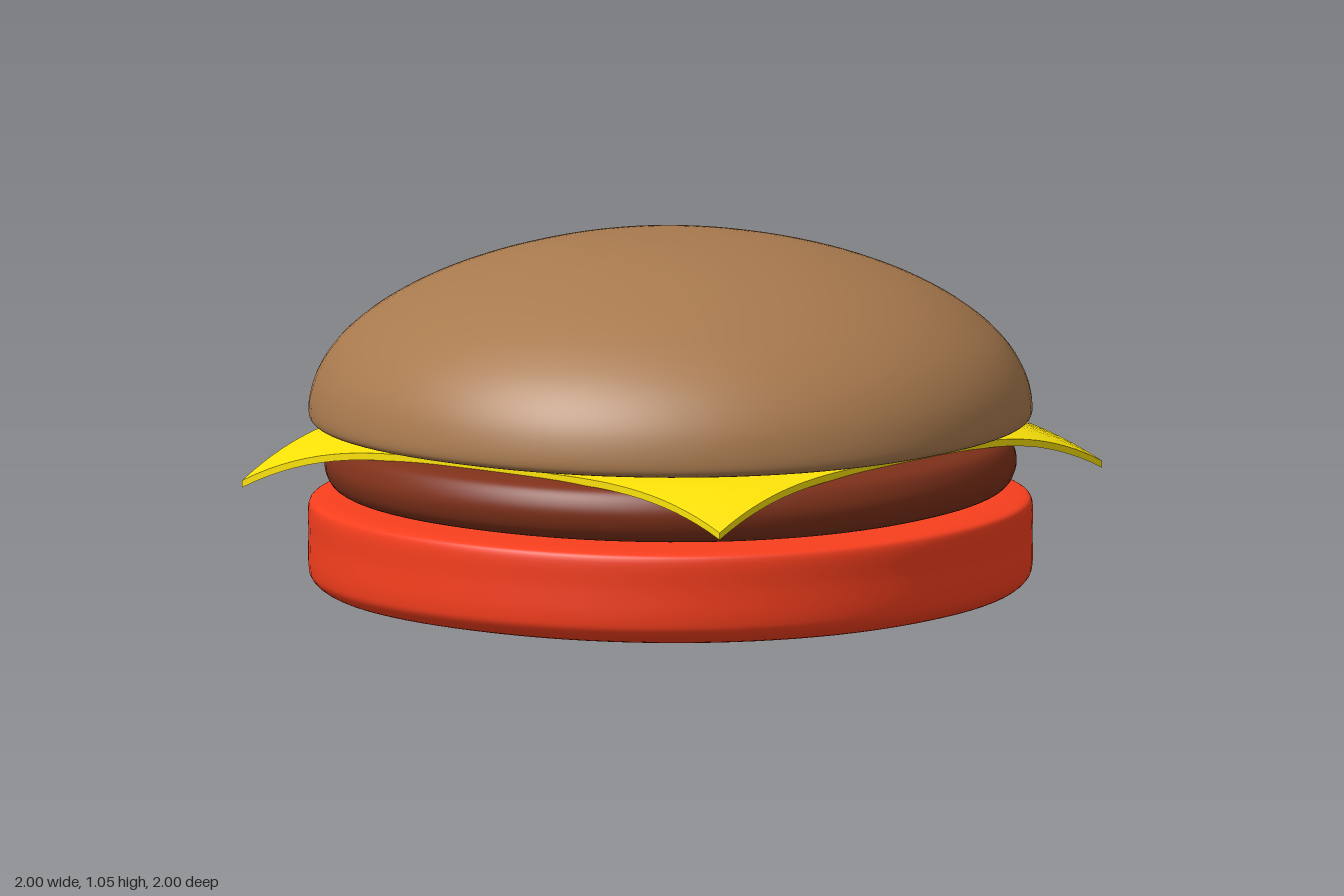
import * as THREE from 'three';

// Round layer: a smooth spline profile (bottom axis to top axis) turned about y,
// then filled out slightly toward the diagonals for a soft-square outline
function layer(name, color, points) {
  const curve = new THREE.CatmullRomCurve3(points.map(([r, y]) => new THREE.Vector3(r, y, 0)), false, 'centripetal');
  const profile = curve.getPoints(72).map(p => new THREE.Vector2(Math.max(p.x, 0), p.y));
  const geo = new THREE.LatheGeometry(profile, 96);
  const pos = geo.attributes.position;
  const n = 2.16;
  for (let i = 0; i < pos.count; i++) {
    const x = pos.getX(i), z = pos.getZ(i);
    const a = Math.atan2(z, x);
    const s = (Math.abs(Math.cos(a)) ** n + Math.abs(Math.sin(a)) ** n) ** (-1 / n);
    pos.setX(i, x * s);
    pos.setZ(i, z * s);
  }
  const mesh = new THREE.Mesh(geo, new THREE.MeshStandardMaterial({ color }));
  mesh.name = name;
  return mesh;
}

// Thin square slice whose corners droop past the patty
function cheeseSlice() {
  const half = 0.845, thickness = 0.02, top = 0.5;
  const geo = new THREE.BoxGeometry(2 * half, thickness, 2 * half, 40, 1, 40);
  const pos = geo.attributes.position;
  for (let i = 0; i < pos.count; i++) {
    const x = pos.getX(i), z = pos.getZ(i);
    const droop = Math.max(0, Math.hypot(x, z) - 0.87) ** 2;
    const corner = (Math.max(0, Math.abs(x * z) / half ** 2 - 0.45) / 0.55) ** 2;
    // each corner flares and hangs a little differently
    const left = x < 0, back = z < 0;
    const dx = left ? -0.03 : back ? 0.02 : -0.005;
    const dz = back ? (left ? 0.005 : -0.033) : (left ? 0.006 : 0.014);
    const hang = left ? 1.24 : back ? 1.18 : 1;
    pos.setXYZ(i, x + dx * corner, pos.getY(i) + top - thickness / 2 - droop * hang, z + dz * corner);
  }
  geo.computeVertexNormals();
  const mesh = new THREE.Mesh(geo, new THREE.MeshStandardMaterial({ color: 0xfbe208 }));
  mesh.name = 'cheeseSlice';
  return mesh;
}

export function createModel() {
  const group = new THREE.Group();
  group.name = 'burger';
  group.add(
    layer('tomatoBase', 0xf83f1e, [
      [0, 0], [0.4, 0.005], [0.7, 0.014], [0.88, 0.03], [0.96, 0.05], [0.993, 0.08], [1, 0.11],
      [1, 0.2], [1, 0.28], [0.992, 0.297], [0.96, 0.304], [0.85, 0.308], [0.5, 0.31], [0, 0.31]
    ]),
    layer('patty', 0x7f311a, [
      [0, 0.308], [0.5, 0.308], [0.8, 0.312], [0.89, 0.322], [0.935, 0.345], [0.955, 0.39],
      [0.953, 0.425], [0.93, 0.465], [0.88, 0.482], [0.75, 0.486], [0, 0.486]
    ]),
    cheeseSlice(),
    layer('topBun', 0xa97a4e, [
      [0, 0.508], [0.5, 0.508], [0.85, 0.511], [0.96, 0.518], [0.993, 0.53], [1, 0.555],
      [0.982, 0.645], [0.925, 0.74], [0.83, 0.827], [0.7, 0.905], [0.56, 0.963], [0.42, 1.004],
      [0.3, 1.028], [0.15, 1.045], [0, 1.05]
    ])
  );
  return group;
}
